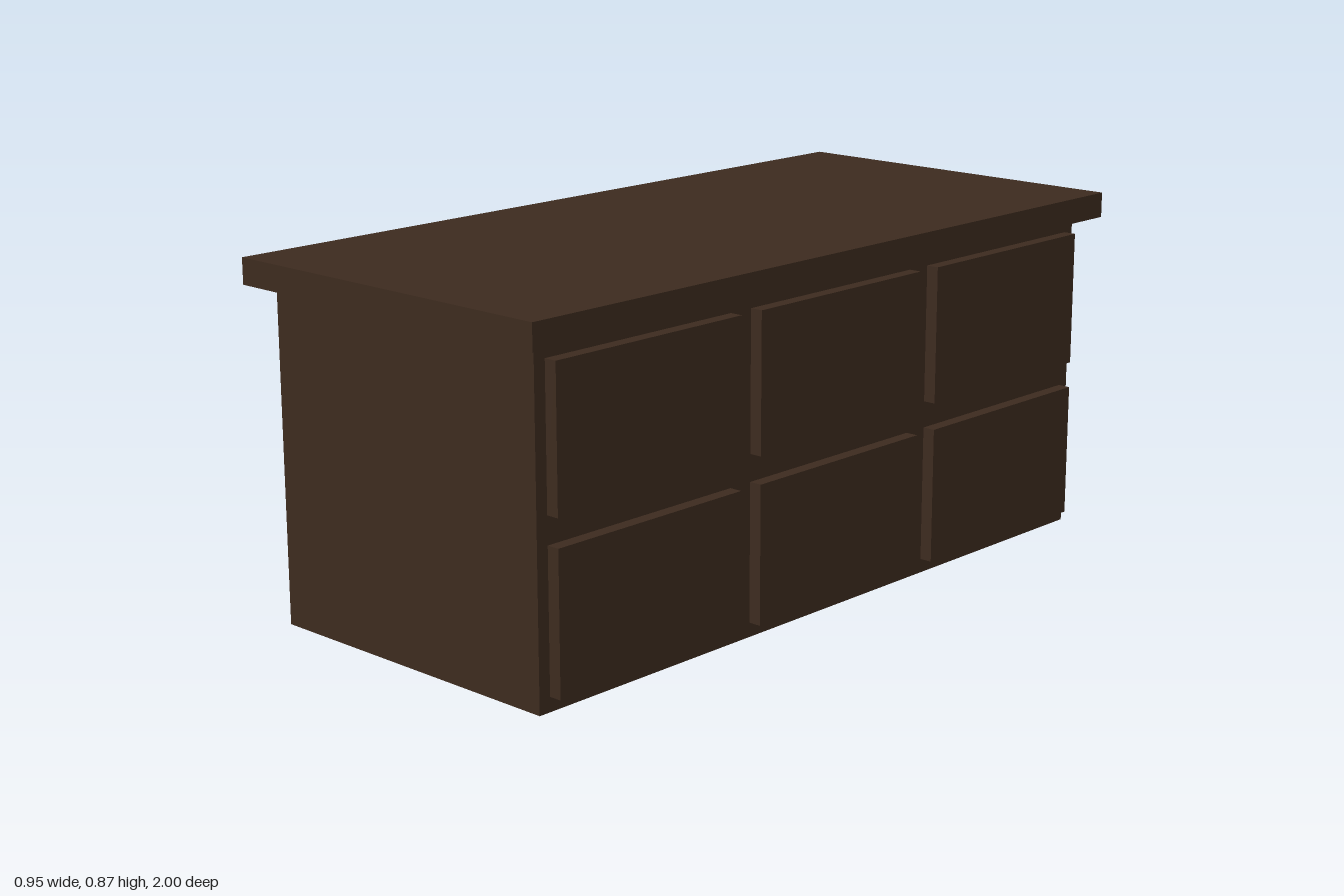
import * as THREE from 'three';

export function createModel() {
  const group = new THREE.Group();
  const wood = new THREE.MeshStandardMaterial({ color: 0x3d2b1f });

  // Box given by its size and the position of its centre
  function box(name, w, h, d, x, y, z) {
    const mesh = new THREE.Mesh(new THREE.BoxGeometry(w, h, d), wood);
    mesh.name = name;
    mesh.position.set(x, y, z);
    group.add(mesh);
  }

  // Carcass and overhanging top
  box('cabinetBody', 0.84, 0.81, 1.895, 0, 0.405, 0);
  box('top', 0.946, 0.063, 2, 0, 0.8415, 0);

  // Two rows of three raised drawer fronts on the +x side
  ['lower', 'upper'].forEach((row, r) => {
    for (let i = -1; i <= 1; i++) {
      box(`${row}DrawerFront${i + 2}`, 0.042, 0.337, 0.567, 0.431, 0.2035 + r * 0.403, i * 0.633);
    }
  });

  return group;
}
